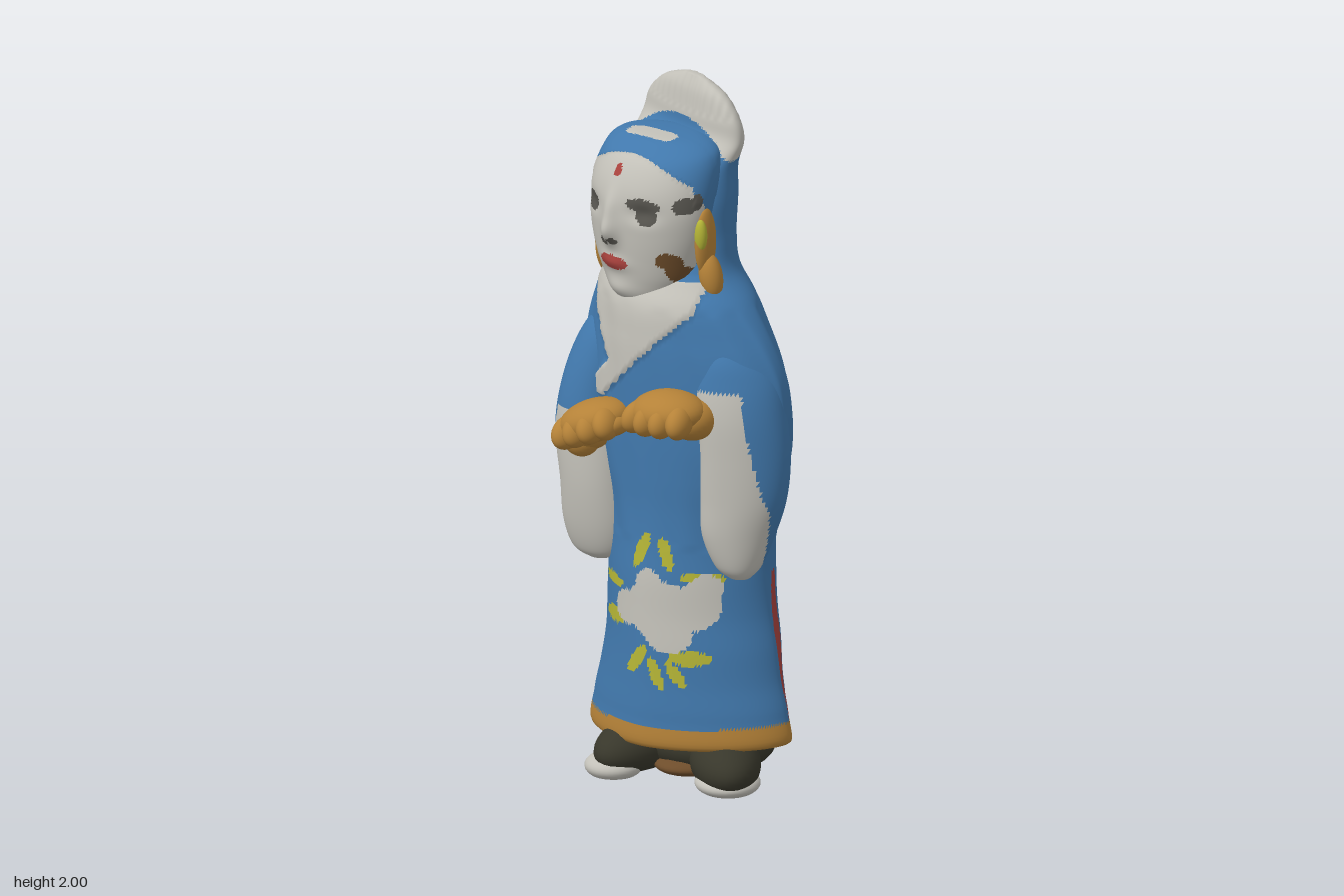
import * as THREE from 'three';

const COLORS = {
  robeBlue: 0x4178ac, clothWhite: 0xc2c0b8, gold: 0xb58238, shoeDark: 0x38372b, red: 0xa8423d,
  leafYellow: 0xb4b436, eyeGrey: 0x57554f, brown: 0x6e4d2b,
};
const NAMES = Object.keys(COLORS);
const [BLUE, WHITE, GOLD, DARK, RED, YELLOW, GREY, BROWN] = NAMES.map((_, i) => i);

export function createModel() {
  const model = new THREE.Group();
  model.name = 'robedFigurine';
  const mats = NAMES.map((name) => {
    const m = new THREE.MeshStandardMaterial({ color: COLORS[name] });
    m.name = name;
    return m;
  });

  const add = (name, geo, mat, parent = model) => {
    const mesh = new THREE.Mesh(geo, mat);
    mesh.name = name;
    parent.add(mesh);
    return mesh;
  };

  // Catmull-Rom blend between table rows
  const sample = (rows, t) => {
    const n = rows.length - 1;
    const i = Math.min(Math.floor(t * n), n - 1), f = t * n - i;
    const [a, b, c, d] = [-1, 0, 1, 2].map((k) => rows[Math.max(0, Math.min(n, i + k))]);
    return b.map((_, k) => b[k] + 0.5 * f * (c[k] - a[k]
      + f * (2 * a[k] - 5 * b[k] + 4 * c[k] - d[k] + f * (3 * (b[k] - c[k]) + d[k] - a[k]))));
  };

  // Closed loft over rows [y, centreX, centreZ, radiusX, radiusZ, shear], faces painted by a rule
  const loft = (name, rows, around, up, paint, shape = () => {}, power = () => 0.95) => {
    const pos = [], faces = NAMES.map(() => []);
    for (let i = 0; i <= up; i++) {
      const [y, cx, cz, rx, rz, shear = 0] = sample(rows, i / up);
      const spow = (v) => Math.sign(v) * Math.abs(v) ** power(y);
      for (let j = 0; j < around; j++) {
        const a = (j / around) * Math.PI * 2;
        const X = rx * spow(Math.sin(a));
        const p = new THREE.Vector3(cx + X, y, cz + rz * spow(Math.cos(a)) + shear * X);
        shape(p, a);
        pos.push(p.x, p.y, p.z);
      }
    }
    const at = (k) => new THREE.Vector3().fromArray(pos, k * 3);
    const face = (a, b, c) => {
      const m = at(a).add(at(b)).add(at(c)).divideScalar(3);
      faces[paint(m.x, m.y, m.z)].push(a, b, c);
    };
    for (let i = 0; i < up; i++) for (let j = 0; j < around; j++) {
      const k = (j + 1) % around, a = i * around, b = a + around;
      face(a + j, a + k, b + k);
      face(a + j, b + k, b + j);
    }
    // end caps
    for (const [row, flip] of [[0, true], [up, false]]) {
      const base = row * around, c = pos.length / 3, m = new THREE.Vector3();
      for (let j = 0; j < around; j++) m.addScaledVector(at(base + j), 1 / around);
      pos.push(m.x, m.y, m.z);
      for (let j = 0; j < around; j++) {
        const p = base + j, q = base + (j + 1) % around;
        if (flip) face(q, p, c); else face(p, q, c);
      }
    }
    const geo = new THREE.BufferGeometry();
    geo.setAttribute('position', new THREE.Float32BufferAttribute(pos, 3));
    geo.setIndex(faces.flat());
    let start = 0;
    faces.forEach((f, i) => { if (f.length) geo.addGroup(start, f.length, i); start += f.length; });
    geo.computeVertexNormals();
    return add(name, geo, mats);
  };

  // Ellipsoid, optionally flattened where it meets the ground
  const blob = (name, mat, c, r, rot = [0, 0, 0], parent = model, floor = -9) => {
    const geo = new THREE.SphereGeometry(1, 32, 20).scale(...r);
    geo.applyMatrix4(new THREE.Matrix4().makeRotationFromEuler(new THREE.Euler(...rot))).translate(...c);
    const p = geo.attributes.position;
    for (let i = 0; i < p.count; i++) p.setY(i, Math.max(floor, p.getY(i)));
    geo.computeVertexNormals();
    return add(name, geo, mats[mat], parent);
  };

  const inEllipse = (x, y, [cx, cy, rx, ry, rot = 0]) => {
    const c = Math.cos(rot), s = Math.sin(rot), dx = x - cx, dy = y - cy;
    return ((dx * c + dy * s) / rx) ** 2 + ((dy * c - dx * s) / ry) ** 2 < 1;
  };
  const inAny = (x, y, list) => list.some((e) => inEllipse(x, y, e));
  const bump = (x, y, cx, cy, sx, sy) => Math.exp(-(((x - cx) / sx) ** 2) - ((y - cy) / sy) ** 2);

  // Robe with hood and crest
  const flower = [[0.07, 0.52, 0.12, 0.085], [-0.05, 0.505, 0.055, 0.05], [0.17, 0.54, 0.06, 0.07],
    [0.03, 0.59, 0.045, 0.045], [0.1, 0.45, 0.07, 0.05], [0.19, 0.595, 0.04, 0.04]];
  const leaves = [[-0.13, 0.565, 0.057, 0.017], [-0.11, 0.465, 0.06, 0.023, 0.1], [0, 0.685, 0.058, 0.02, 1.15],
    [0.08, 0.685, 0.05, 0.018, -1.2], [0.18, 0.622, 0.055, 0.017], [0.165, 0.39, 0.06, 0.021, 0.05],
    [0, 0.365, 0.055, 0.02, 0.9], [0.07, 0.335, 0.05, 0.018, -1.1], [0.13, 0.34, 0.045, 0.017, -0.9]];
  const collar = (x, y, z) => {
    if (z < 0.06 || x > 0.125 || y > 1.47 || y < 1.1) return false;
    const v = y - (1.12 + 0.97 * (x + 0.2));
    return Math.abs(v) < 0.045 || (v > 0 && y > 1.22 - 1.64 * (x + 0.16));
  };
  const robePaint = (x, y, z) => {
    if (y > 1.885 - 2.2 * (x + 0.1) ** 2) return WHITE;
    if (collar(x, y, z)) return WHITE;
    if (y < 0.2 && Math.hypot((x - 0.03) / 0.28, z / 0.18) < 0.8) return DARK;
    if (z > 0 && y - 0.07 * x < 0.172) return GOLD;
    if (y < 0.62 && Math.abs(x) > 0.15 && Math.abs(z + 0.035) < Math.min(0.037, 0.012 + 0.12 * (0.62 - y))) return RED;
    if (z > 0.05) {
      if (inAny(x, y, flower)) return WHITE;
      if (inAny(x, y, leaves)) return YELLOW;
    }
    return BLUE;
  };
  loft('robeAndHood', [
    [0.15, 0.03, 0.02, 0.2, 0.12, 0], [0.11, 0.033, 0.02, 0.335, 0.222, 0], [0.2, 0.035, 0.02, 0.33, 0.228, 0],
    [0.3, 0.035, 0.018, 0.305, 0.224, 0], [0.4, 0.035, 0.015, 0.287, 0.222, 0], [0.5, 0.025, 0.012, 0.275, 0.218, 0],
    [0.6, 0.02, 0.01, 0.268, 0.214, 0], [0.7, 0.015, 0.004, 0.27, 0.208, 0], [0.8, 0.01, 0, 0.29, 0.205, 0],
    [0.9, 0.005, 0, 0.325, 0.204, 0], [1.0, 0, 0, 0.35, 0.203, 0], [1.1, -0.005, 0, 0.355, 0.2, 0],
    [1.2, -0.01, 0, 0.342, 0.197, 0], [1.3, -0.03, -0.005, 0.315, 0.195, 0.03], [1.4, -0.05, -0.013, 0.262, 0.185, 0.06],
    [1.48, -0.08, -0.035, 0.213, 0.15, 0.08], [1.57, -0.087, -0.05, 0.2, 0.13, 0.08], [1.68, -0.09, -0.062, 0.2, 0.135, 0.1],
    [1.77, -0.097, -0.092, 0.2, 0.115, 0.16], [1.84, -0.1, -0.143, 0.21, 0.072, 0.22], [1.9, -0.1, -0.148, 0.194, 0.058, 0.24],
    [1.96, -0.092, -0.142, 0.132, 0.04, 0.24], [1.998, -0.085, -0.133, 0.035, 0.012, 0.24],
  ], 200, 176, robePaint, (p, a) => {
    // front panel flares past the back over the side slits
    if (p.y < 0.6 && p.z < 0) p.x -= (p.x - 0.03) * 0.16 * Math.min(1, -p.z / 0.06) * (1 - p.y / 0.6);
    if (p.y < 0.5) p.y += 0.07 * p.x * (1 - p.y / 0.5) + (p.z < 0 ? -0.15 * p.z * (0.5 - p.y) : 0);
    if (collar(p.x, p.y, p.z)) p.z += 0.008;
    // soft cloth folds and crest ribs
    if (p.y > 0.7 && p.y < 1.4) p.z += 0.004 * Math.sin(14 * a + 9 * p.y) * Math.abs(Math.sin(a));
    if (p.y > 1.9) p.z += 0.0015 * Math.sin(p.x * 220);
  }, (y) => 1.15 - 0.22 * THREE.MathUtils.smoothstep(y, 1.3, 1.5));

  // Head: face and padded cap
  const isFace = (x, y, z) => z > 0.062 + (y > 1.7 ? 0.03 : 0) && y < 1.822 - 2 * (x + 0.1) ** 2;
  const facePaint = (x, y, z) => {
    if (!isFace(x, y, z)) {
      const patch = ((x + 0.11) / 0.082) ** 4 + ((z - 0.03) / 0.032) ** 4 < 1;
      if (y > 1.8 && patch) return WHITE;
      return inEllipse(z, y, [0.09, 1.71, 0.022, 0.025]) ? GREY : BLUE;
    }
    if (inAny(x, y, [[-0.025, 1.695, 0.052, 0.02, -0.05], [-0.015, 1.665, 0.032, 0.027], [-0.228, 1.665, 0.036, 0.027], [0.08, 1.7, 0.025, 0.024]])) return GREY;
    if (inAny(x, y, [[-0.152, 1.572, 0.022, 0.013], [-0.115, 1.58, 0.015, 0.01]])) return GREY;
    if (inAny(x, y, [[-0.127, 1.512, 0.057, 0.021], [-0.13, 1.778, 0.013, 0.016]])) return RED;
    if (inAny(x, y, [[0.04, 1.535, 0.03, 0.024], [0.055, 1.495, 0.022, 0.04, 0.3]])) return BROWN;
    return WHITE;
  };
  loft('head', [
    [1.37, -0.085, 0.06, 0.04, 0.05], [1.4, -0.085, 0.06, 0.1, 0.1], [1.46, -0.087, 0.06, 0.145, 0.12],
    [1.53, -0.09, 0.06, 0.172, 0.13], [1.6, -0.09, 0.06, 0.188, 0.135], [1.67, -0.09, 0.053, 0.196, 0.143],
    [1.74, -0.09, 0.033, 0.196, 0.147], [1.8, -0.09, 0.008, 0.185, 0.137], [1.835, -0.095, -0.01, 0.165, 0.11],
    [1.855, -0.1, -0.015, 0.115, 0.075], [1.86, -0.1, -0.015, 0.02, 0.015],
  ], 140, 90, facePaint, (p) => {
    if (!isFace(p.x, p.y, p.z)) { if (p.y > 1.6 && p.z > 0) p.z += 0.005; return; }
    const { x, y } = p;
    p.z += 0.032 * bump(x, y, -0.13, 1.605, 0.03, 0.04) + 0.016 * bump(x, y, -0.13, 1.67, 0.025, 0.05)
      + 0.012 * bump(x, y, -0.127, 1.51, 0.05, 0.02) + 0.014 * bump(x, y, -0.12, 1.43, 0.06, 0.03)
      - 0.014 * bump(x, y, -0.025, 1.67, 0.045, 0.025) - 0.014 * bump(x, y, -0.225, 1.665, 0.04, 0.025);
  }, () => 1);

  // Ear flaps
  blob('leftEar', GOLD, [0.104, 1.585, 0.055], [0.022, 0.1, 0.04]);
  blob('leftEarLobe', GOLD, [0.12, 1.485, 0.05], [0.034, 0.068, 0.034], [0, 0, 0.2]);
  blob('leftEarPatch', YELLOW, [0.108, 1.61, 0.08], [0.019, 0.048, 0.017]);
  blob('rightEar', GOLD, [-0.278, 1.5, 0.03], [0.028, 0.088, 0.036]);

  // Hanging sleeves with white cuffs
  const cuff = (top, edge) => (x, y, z) =>
    (z > 0.045 + (y - 0.62) * 0.13 && y < top && Math.abs(x) < edge + (top - y) * 0.2 ? WHITE : BLUE);
  loft('rightSleeve', [
    [0.592, -0.235, 0.11, 0.035, 0.03, 0], [0.62, -0.237, 0.11, 0.085, 0.06, 0], [0.7, -0.24, 0.108, 0.11, 0.085, 0],
    [0.82, -0.245, 0.105, 0.112, 0.1, 0], [0.95, -0.262, 0.098, 0.116, 0.105, 0], [1.06, -0.27, 0.085, 0.104, 0.105, 0],
    [1.18, -0.26, 0.055, 0.1, 0.105, 0.1], [1.28, -0.24, 0.03, 0.08, 0.09, 0.2], [1.36, -0.2, 0.01, 0.04, 0.05, 0.2],
  ], 64, 60, cuff(1.04, 0.335));
  loft('leftSleeve', [
    [0.625, 0.255, 0.085, 0.03, 0.03, 0], [0.66, 0.25, 0.085, 0.06, 0.06, -0.2], [0.75, 0.248, 0.082, 0.09, 0.08, -0.35],
    [0.86, 0.26, 0.075, 0.106, 0.085, -0.4], [0.98, 0.262, 0.07, 0.108, 0.088, -0.45], [1.1, 0.248, 0.068, 0.106, 0.09, -0.45],
    [1.2, 0.22, 0.058, 0.105, 0.09, -0.4], [1.28, 0.19, 0.04, 0.08, 0.085, -0.3], [1.36, 0.14, 0.01, 0.04, 0.05, -0.2],
  ], 64, 60, cuff(1.18, 0.285));

  // Hands held forward, palms down
  const hand = (name, at, tilt, side) => {
    const g = new THREE.Group();
    g.name = name;
    blob('palm', GOLD, [0, 0, 0], [0.115, 0.062, 0.098], [0, 0, 0], g);
    for (let i = 0; i < 4; i++) {
      const u = i - 1.5;
      blob('finger', GOLD, [u * 0.05, -0.012, 0.058 - 0.006 * u * u], [0.036, 0.045, 0.058], [0.4, u * 0.15, 0], g);
    }
    blob('thumb', GOLD, [-side * 0.085, -0.025, 0.02], [0.035, 0.03, 0.06], [0, 0, 0], g);
    blob('wrist', GOLD, [side * 0.06, -0.025, -0.04], [0.065, 0.06, 0.08], [0, 0, 0], g);
    g.position.set(...at);
    g.rotation.z = tilt;
    model.add(g);
  };
  hand('rightHand', [-0.17, 1.035, 0.21], 0.38, -1);
  hand('leftHand', [0.1, 1.12, 0.215], 0.08, 1);
  blob('rightForearm', GOLD, [-0.235, 0.97, 0.195], [0.06, 0.06, 0.05]);

  // Dark base, shoes and the wedge-shaped support behind the robe
  blob('base', DARK, [0.03, 0.08, -0.02], [0.23, 0.1, 0.18], [0, 0, 0], model, 0.02);
  loft('backSupport', [
    [0.002, -0.01, -0.13, 0.1, 0.17], [0.03, -0.01, -0.13, 0.13, 0.2], [0.08, -0.01, -0.13, 0.135, 0.204],
    [0.13, -0.01, -0.12, 0.13, 0.2], [0.17, -0.01, -0.105, 0.12, 0.175], [0.2, -0.01, -0.1, 0.09, 0.11],
  ], 48, 20, () => DARK, () => {}, () => 1.12);
  blob('rightShoe', DARK, [-0.085, 0.065, 0.105], [0.1, 0.085, 0.19], [0, 0.05, 0], model, 0.012);
  blob('leftShoe', DARK, [0.205, 0.065, 0.09], [0.1, 0.085, 0.18], [0, 0.8, 0], model, 0.012);
  blob('rightShoeToe', WHITE, [-0.095, 0.025, 0.22], [0.083, 0.04, 0.085], [0, 0.05, 0], model, 0);
  blob('leftShoeToe', WHITE, [0.25, 0.025, 0.135], [0.094, 0.038, 0.102], [0, 0.8, 0], model, 0);
  blob('soleFill', BROWN, [0.06, 0.03, 0.04], [0.11, 0.035, 0.14], [0, 0, 0], model, 0.004);

  return model;
}
